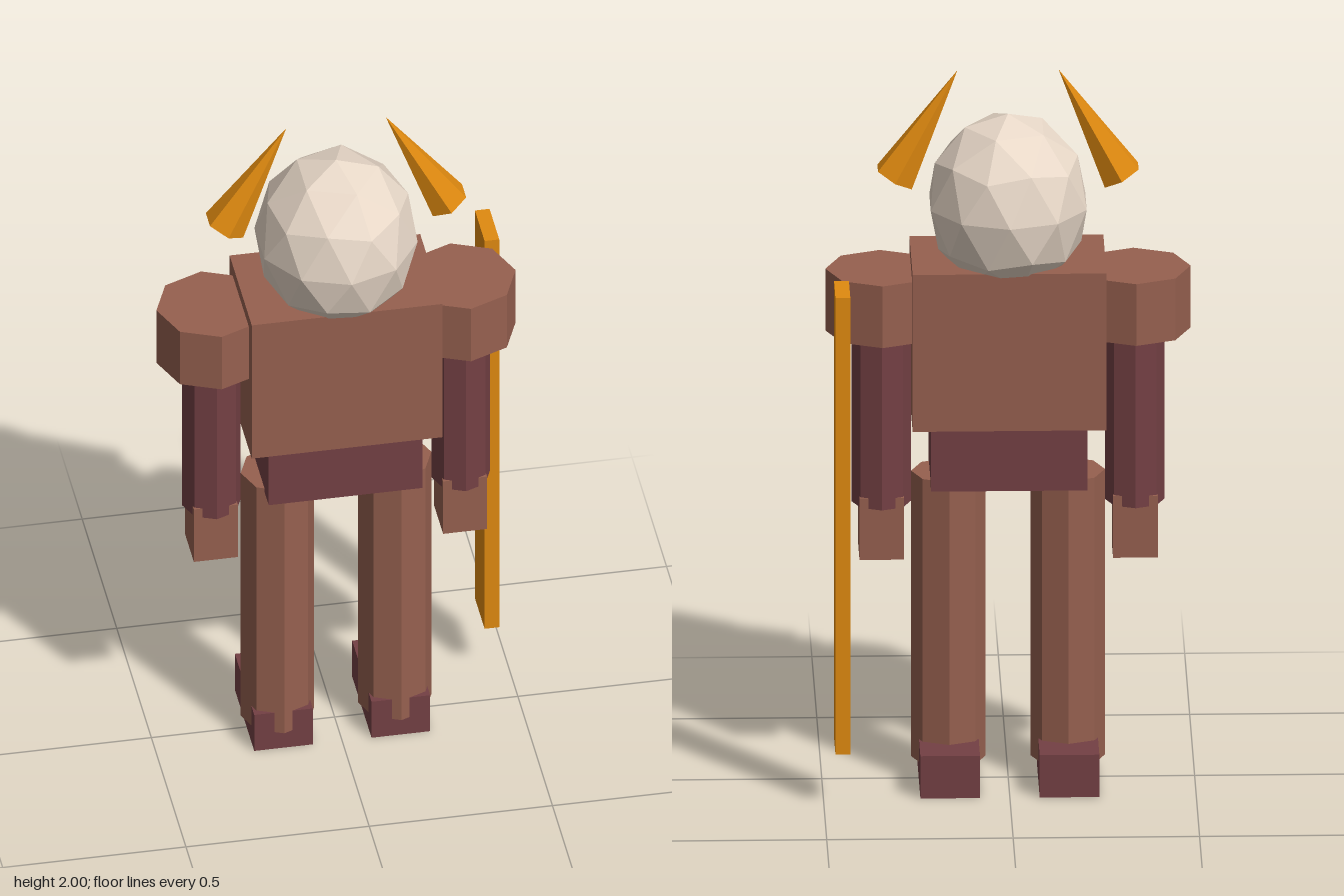
import * as THREE from 'three';

const Z = 0.02; // depth of the body's centre line

const mat = (color) => new THREE.MeshStandardMaterial({ color, flatShading: true });

export function createModel() {
  const model = new THREE.Group();
  model.name = 'hornedFigure';
  const leather = mat(0x96604f);
  const dark = mat(0x744044);
  const gold = mat(0xe08a10);
  const bone = mat(0xe8d8c8);

  const add = (name, geometry, material, x, y, z = Z) => {
    const mesh = new THREE.Mesh(geometry, material);
    mesh.name = name;
    mesh.position.set(x, y, z);
    model.add(mesh);
    return mesh;
  };
  const box = (w, h, d) => new THREE.BoxGeometry(w, h, d);
  const octagon = (r, h) => new THREE.CylinderGeometry(r, r, h, 8);

  // Trunk
  add('torso', box(0.52, 0.445, 0.32), leather, 0, 1.2525);
  add('pelvis', box(0.42, 0.18, 0.28), dark, 0, 0.943);

  // Faceted head with a corner of the icosahedron pointing straight up
  const skull = new THREE.IcosahedronGeometry(1, 1);
  skull.rotateZ(-Math.atan(2 / (1 + Math.sqrt(5))));
  skull.scale(0.22, 0.25, 0.23);
  add('head', skull, bone, 0, 1.625);

  // Paired parts
  for (const [side, s] of [['left', 1], ['right', -1]]) {
    const horn = add(side + 'Horn', new THREE.ConeGeometry(0.06, 0.345, 6), gold, s * 0.22, 1.849);
    horn.rotation.z = s * 0.51;
    add(side + 'Shoulder', octagon(0.15, 0.175), leather, s * 0.34, 1.3525);
    add(side + 'Arm', octagon(0.08, 0.52), dark, s * 0.34, 1.04);
    add(side + 'Hand', box(0.12, 0.175, 0.13), leather, s * 0.34, 0.7225);
    add(side + 'Leg', octagon(0.1, 0.81), leather, s * 0.16, 0.46);
    add(side + 'Foot', box(0.16, 0.12, 0.28), dark, s * 0.16, 0.06, -0.03);
  }

  // Long upright blade beside the left arm
  add('blade', box(0.04, 1.295, 0.14), gold, 0.45, 0.8025, -0.18);

  return model;
}
